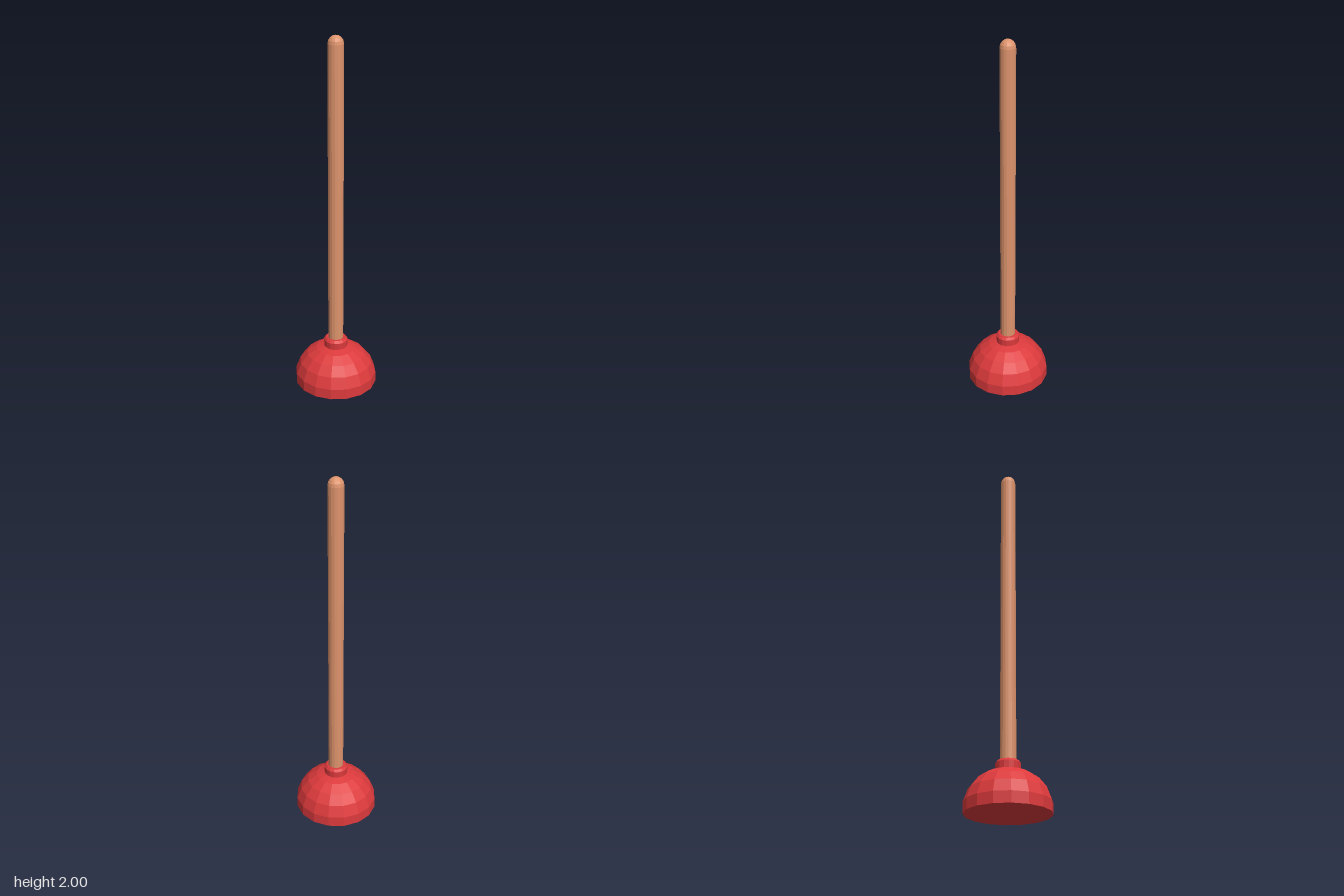
import * as THREE from 'three';

const SIDES = 16;

// Faceted solid of revolution from [radius, height] pairs, listed bottom to top
function turned(name, profile, color) {
  const points = profile.map(([r, y]) => new THREE.Vector2(r, y));
  const material = new THREE.MeshStandardMaterial({ color, flatShading: true });
  const mesh = new THREE.Mesh(new THREE.LatheGeometry(points, SIDES), material);
  mesh.name = name;
  return mesh;
}

export function createModel() {
  const group = new THREE.Group();
  group.name = 'plunger';
  const red = 0xdd3a3c;
  const wood = 0xdd936c;

  // Rubber cup: straight rim, domed top, closed flat underside
  const cup = turned('rubberCup', [
    [0, 0], [0.232, 0], [0.232, 0.06], [0.207, 0.125],
    [0.166, 0.175], [0.112, 0.21], [0.06, 0.225], [0, 0.227],
  ], red);
  cup.scale.z = 0.978;

  // Collar gripping the handle, with a bevelled lip
  const collar = turned('collar', [
    [0.066, 0.215], [0.068, 0.262], [0.057, 0.275], [0.03, 0.275],
  ], red);
  collar.scale.z = 0.978;

  // Wooden handle with a rounded end
  const radius = 0.043, shoulder = 1.955, steps = 4;
  const profile = [[0, 0.2], [radius, 0.2]];
  for (let i = 0; i <= steps; i++) {
    const a = (i / steps) * Math.PI / 2;
    profile.push([i === steps ? 0 : radius * Math.cos(a), shoulder + 0.045 * Math.sin(a)]);
  }
  const handle = turned('handle', profile, wood);
  handle.scale.z = 0.978;

  group.add(cup, collar, handle);
  return group;
}
